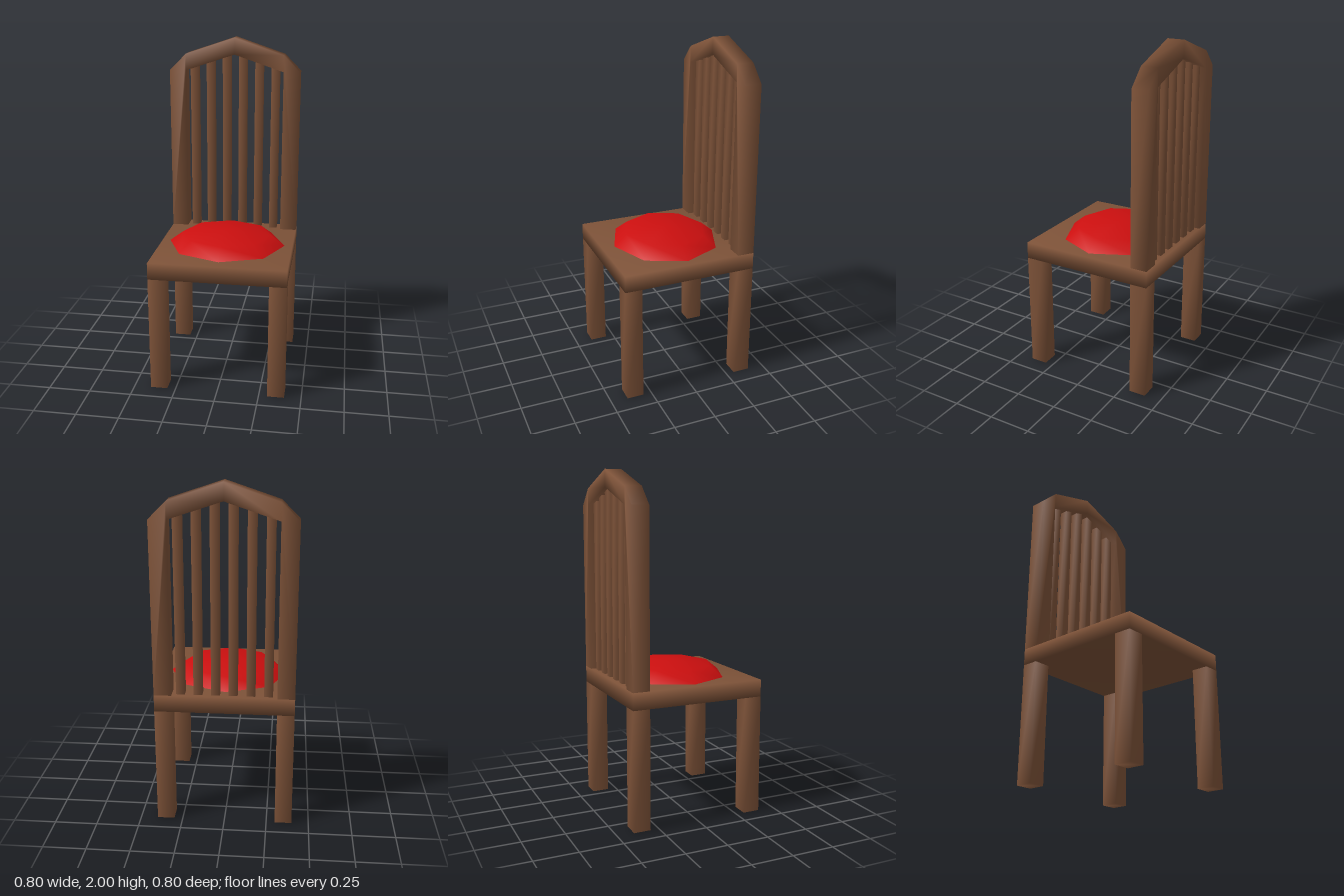
import * as THREE from 'three';
import { mergeVertices } from 'three/addons/utils/BufferGeometryUtils.js';

const wood = new THREE.MeshStandardMaterial({ name: 'brownWood', color: 0x7d5238 });
const fabric = new THREE.MeshStandardMaterial({ name: 'redFabric', color: 0xcc0f0f });

// Weld corners so that shading runs softly around the low-poly edges
function soften(geometry) {
  geometry.deleteAttribute('normal');
  geometry.deleteAttribute('uv');
  const welded = mergeVertices(geometry, 1e-4);
  welded.computeVertexNormals();
  return welded;
}

export function createModel() {
  const chair = new THREE.Group();
  chair.name = 'chair';

  const add = (name, geometry, material) => {
    const mesh = new THREE.Mesh(soften(geometry), material);
    mesh.name = name;
    chair.add(mesh);
    return mesh;
  };
  // Box standing on y0 and reaching y1
  const box = (name, x, z, w, d, y0, y1) =>
    add(name, new THREE.BoxGeometry(w, y1 - y0, d), wood).position.set(x, (y0 + y1) / 2, z);

  // Seat board
  box('seat', 0, 0, 0.8, 0.8, 0.7, 0.8);

  // Four square legs
  for (const [side, x] of [['Left', 0.35], ['Right', -0.35]]) {
    box('front' + side + 'Leg', x, 0.35, 0.1, 0.1, 0, 0.7);
    box('back' + side + 'Leg', x, -0.35, 0.1, 0.1, 0, 0.7);
  }

  // Back frame: two posts joined by a pointed arch
  const outline = [
    [-0.4, 0.8], [-0.3, 0.8], [-0.3, 1.8], [0, 1.9], [0.3, 1.8], [0.3, 0.8],
    [0.4, 0.8], [0.4, 1.8], [0.3, 1.9], [0, 2], [-0.3, 1.9], [-0.4, 1.8],
  ];
  const frame = new THREE.Shape(outline.map(([x, y]) => new THREE.Vector2(x, y)));
  add('backFrame', new THREE.ExtrudeGeometry(frame, { depth: 0.1, bevelEnabled: false }), wood)
    .position.z = -0.4;

  // Six slats, tops sunk into the arch
  for (let i = 0; i < 6; i++) {
    const x = -0.25 + i * 0.1;
    box('backSlat' + (i + 1), x, -0.35, 0.05, 0.05, 0.8, 1.92 - Math.abs(x) / 3);
  }

  // Eight-sided domed cushion
  const profile = [[1, 0.8], [0.76, 0.863], [0, 0.885]].map(([r, y]) => new THREE.Vector2(r, y));
  const dome = new THREE.LatheGeometry(profile, 8).scale(0.352, 1, 0.323);
  add('cushion', dome, fabric);

  return chair;
}
